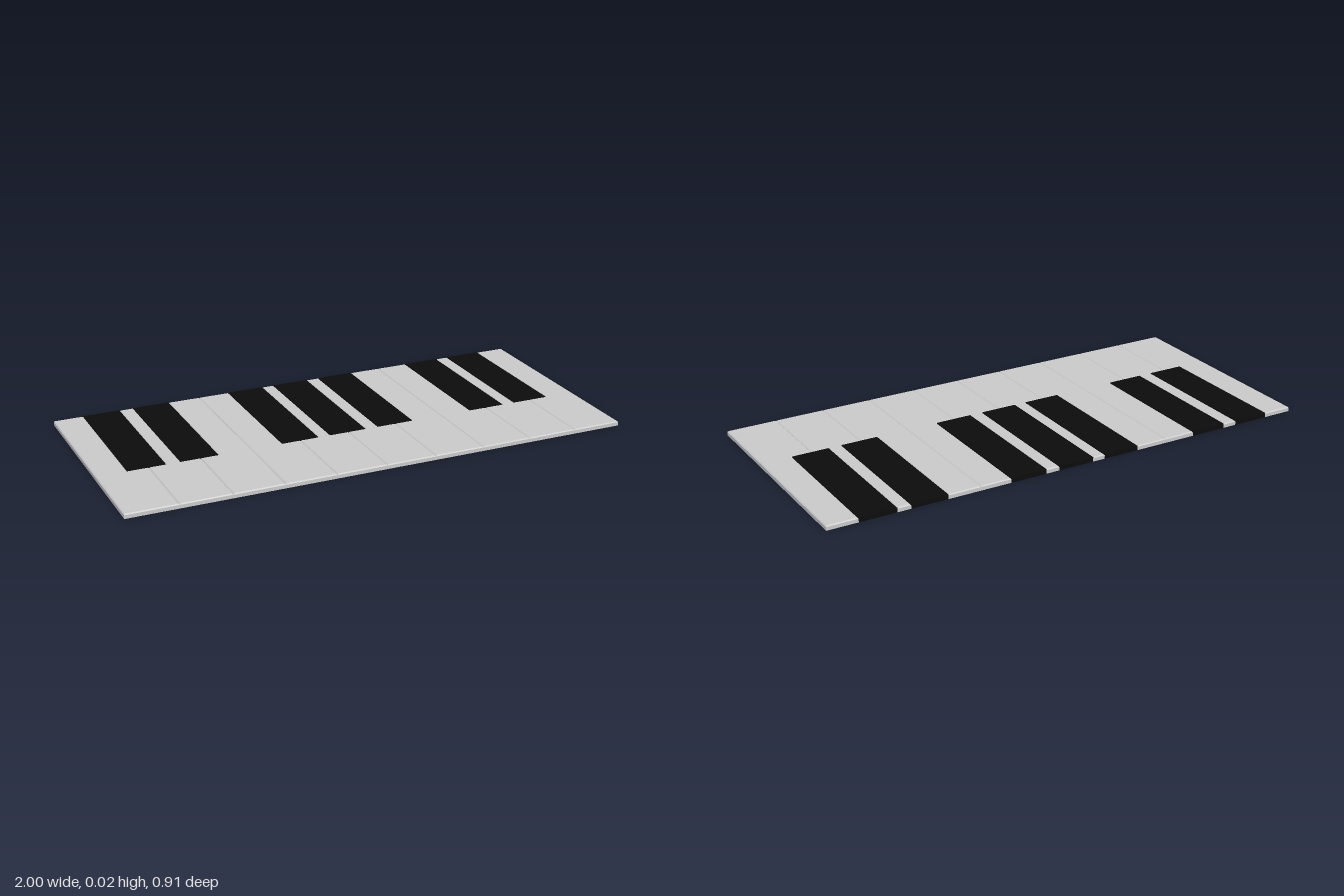
import * as THREE from 'three';

const HEIGHT = 0.018, BEVEL = 0.004, KEY_W = 0.2, DEPTH = 0.455;
const BLACK_W = 0.147, BLACK_FRONT = 0.115;
// black key centres by the seam (between white keys) they sit on
const BLACK_X = { 1: -0.808, 2: -0.604, 4: -0.2, 5: -0.002, 6: 0.2, 8: 0.604, 9: 0.805 };

// White key: outline notched around its black neighbours, chamfered on top only
function whiteKeyGeometry(i) {
  const x0 = -1 + i * KEY_W, x1 = x0 + KEY_W;
  const left = BLACK_X[i], right = BLACK_X[i + 1];
  const pts = [[x0, -DEPTH], [x1, -DEPTH]];
  if (right !== undefined) {
    const x = right - BLACK_W / 2;
    pts.push([x1, -BLACK_FRONT], [x, -BLACK_FRONT], [x, DEPTH]);
  } else pts.push([x1, DEPTH]);
  if (left !== undefined) {
    const x = left + BLACK_W / 2;
    pts.push([x, DEPTH], [x, -BLACK_FRONT], [x0, -BLACK_FRONT]);
  } else pts.push([x0, DEPTH]);

  const shape = new THREE.Shape(pts.map(p => new THREE.Vector2(...p)));
  const geo = new THREE.ExtrudeGeometry(shape, {
    depth: HEIGHT - BEVEL, bevelEnabled: true, bevelSegments: 1,
    bevelThickness: BEVEL, bevelSize: BEVEL, bevelOffset: -BEVEL,
  });
  // flatten the lower chamfer so the underside is level
  const pos = geo.attributes.position;
  for (let k = 0; k < pos.count; k++) pos.setZ(k, Math.max(0, pos.getZ(k)));
  geo.computeVertexNormals();
  return geo.rotateX(-Math.PI / 2);
}

export function createModel() {
  const group = new THREE.Group();
  group.name = 'pianoKeys';
  const white = new THREE.MeshStandardMaterial({ color: 0xcccccc });
  const black = new THREE.MeshStandardMaterial({ color: 0x0c0c0c });

  for (let i = 0; i < 10; i++) {
    const key = new THREE.Mesh(whiteKeyGeometry(i), white);
    key.name = `whiteKey${i + 1}`;
    group.add(key);
  }

  // Black keys fill the notches, flush with the white ones
  const length = DEPTH + BLACK_FRONT;
  const blackGeo = new THREE.BoxGeometry(BLACK_W, HEIGHT, length);
  Object.values(BLACK_X).forEach((x, i) => {
    const key = new THREE.Mesh(blackGeo, black);
    key.name = `blackKey${i + 1}`;
    key.position.set(x, HEIGHT / 2, BLACK_FRONT - length / 2);
    group.add(key);
  });
  return group;
}
